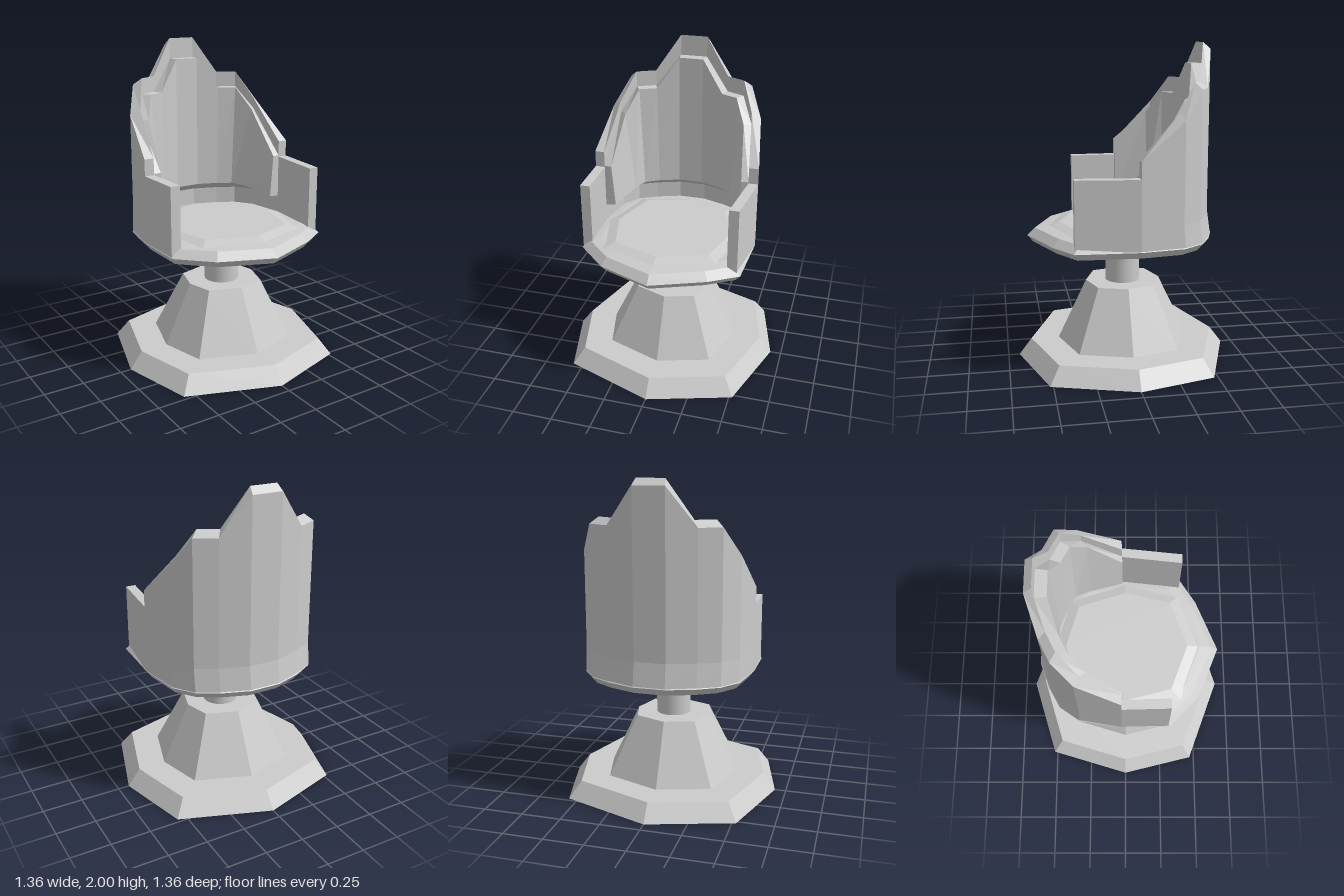
import * as THREE from 'three';

const flat = new THREE.MeshStandardMaterial({ color: 0xcccccc, flatShading: true });
const open = new THREE.MeshStandardMaterial({ color: 0xcccccc, flatShading: true, side: THREE.DoubleSide });
const smooth = new THREE.MeshStandardMaterial({ color: 0xcccccc });

// Solid through a series of equal-length rings of [x, y, z]; the first end may be left open
function loft(name, rings, openStart = false) {
  const v = (p) => new THREE.Vector3(...p);
  const n = rings[0].length;
  let tris = [];
  for (let i = 0; i < rings.length - 1; i++) {
    for (let j = 0; j < n; j++) {
      const k = (j + 1) % n;
      const a = rings[i][j], b = rings[i][k], c = rings[i + 1][k], d = rings[i + 1][j];
      tris.push([a, b, c], [a, c, d]);
    }
  }
  const first = rings[0], last = rings[rings.length - 1];
  for (let j = 1; j < n - 1; j++) {
    if (!openStart) tris.push([first[0], first[j + 1], first[j]]);
    tris.push([last[0], last[j], last[j + 1]]);
  }
  // Drop empty triangles, then let the signed volume decide the winding
  tris = tris.filter(([a, b, c]) => new THREE.Triangle(v(a), v(b), v(c)).getArea() > 1e-6);
  const volume = tris.reduce((s, [a, b, c]) => s + v(a).dot(v(b).cross(v(c))), 0);
  if (volume < 0) tris.forEach((t) => t.reverse());
  const geometry = new THREE.BufferGeometry();
  geometry.setAttribute('position', new THREE.Float32BufferAttribute(tris.flat(2), 3));
  geometry.computeVertexNormals();
  const mesh = new THREE.Mesh(geometry, openStart ? open : flat);
  mesh.name = name;
  return mesh;
}

// Stack of scaled copies of a plan outline, levels are [scale, y]
const stack = (name, outline, levels, openStart) =>
  loft(name, levels.map(([s, y]) => outline.map(([x, z]) => [x * s, y, z * s])), openStart);

// Mirrors a half list of [x, ...rest] in reverse order
const mirrored = (half) => half.slice().reverse().map(([x, ...rest]) => [-x, ...rest]);

// Slightly uneven octagon shared by the foot and pedestal
const octagon = [
  [0, -0.68], [0.558, -0.475], [0.68, 0], [0.52, 0.52],
  [0, 0.68], [-0.565, 0.47], [-0.68, 0], [-0.525, -0.52],
];

// Seat outline, following the backrest and the two uneven arms, pointed in front
const seatBack = [[0.1, -0.56], [0.27, -0.5], [0.4, -0.425], [0.49, -0.3], [0.53, -0.025]];
const seatOutline = [
  ...seatBack, [0.51, 0.365], [0.335, 0.475], [0, 0.61],
  [-0.335, 0.475], [-0.527, 0.285], ...mirrored(seatBack),
];

// Cushion outline on top of the seat
const cushionOutline = [
  [0, -0.47], [0.33, -0.375], [0.45, 0], [0.36, 0.355],
  [0, 0.49], [-0.36, 0.355], [-0.45, 0], [-0.33, -0.375],
];

// Backrest stations: outer x, outer z, wall top, padding top, padding foot y, padding foot x scale
const backHalf = [
  [0.53, -0.025, 1.335, 1.24, 0.97, 0.76],
  [0.485, -0.29, 1.6, 1.53, 1.01, 0.68],
  [0.4, -0.41, 1.77, 1.67, 1.01, 0.73],
  [0.27, -0.475, 1.77, 1.67, 1.01, 0.76],
  [0.097, -0.535, 2.0, 1.87, 1.01, 0.8],
];
const back = [...backHalf, ...mirrored(backHalf)];

// Wall cross-section: flared at the foot, rim rising inwards by the slope
function wallSection(x, z, top, slope, ix = x * 0.885, iz = z * 0.915) {
  return [
    [x, 0.805, z * 1.04],
    [x, 0.95, z],
    [x, top - slope, z],
    [ix, top, iz],
    [ix, 0.83, iz],
  ];
}

// Two sections of an armrest, front end first
function armSections(side, endX, endZ) {
  return [
    wallSection(side * endX, endZ, 1.232, 0, side * (endX - 0.062), endZ)
      .map(([x, y]) => [x, y, endZ]),
    wallSection(side * 0.53, -0.025, 1.232, 0),
  ];
}

function createModel() {
  const model = new THREE.Group();
  model.name = 'swivelChair';

  // Foot (hollow underneath), pedestal and post
  model.add(stack('foot', octagon, [[1, 0], [0.883, 0.105]], true));
  model.add(stack('pedestal', octagon, [[0.62, 0.105], [0.352, 0.485]]));
  const post = new THREE.Mesh(new THREE.CylinderGeometry(0.11, 0.11, 0.275, 32), smooth);
  post.name = 'post';
  post.position.y = 0.62;
  model.add(post);

  // Seat pan and cushion
  model.add(stack('seat', seatOutline, [[0.94, 0.757], [1, 0.8], [0.92, 0.848], [0.8, 0.857]]));
  model.add(stack('cushion', cushionOutline, [[1, 0.853], [0.83, 0.878]]));

  // Stepped shell: left arm (longer, turned inwards), backrest, right arm
  model.add(loft('backAndArms', [
    ...armSections(1, 0.488, 0.36),
    ...back.map(([x, z, top], i) =>
      wallSection(x, z, top, i === 0 || i === back.length - 1 ? 0 : 0.04)),
    ...armSections(-1, 0.522, 0.275).reverse(),
  ]));

  // Padding inside the shell, with an undercut lower edge
  model.add(loft('backPadding', back.map(([x, z, , top, footY, footScale]) => [
    [x * 0.887, 0.96, z * 0.918],
    [x * 0.887, top, z * 0.918],
    [x * 0.8, top, z * 0.785],
    [x * footScale, footY, z * 0.787],
  ])));

  return model;
}

export { createModel };
